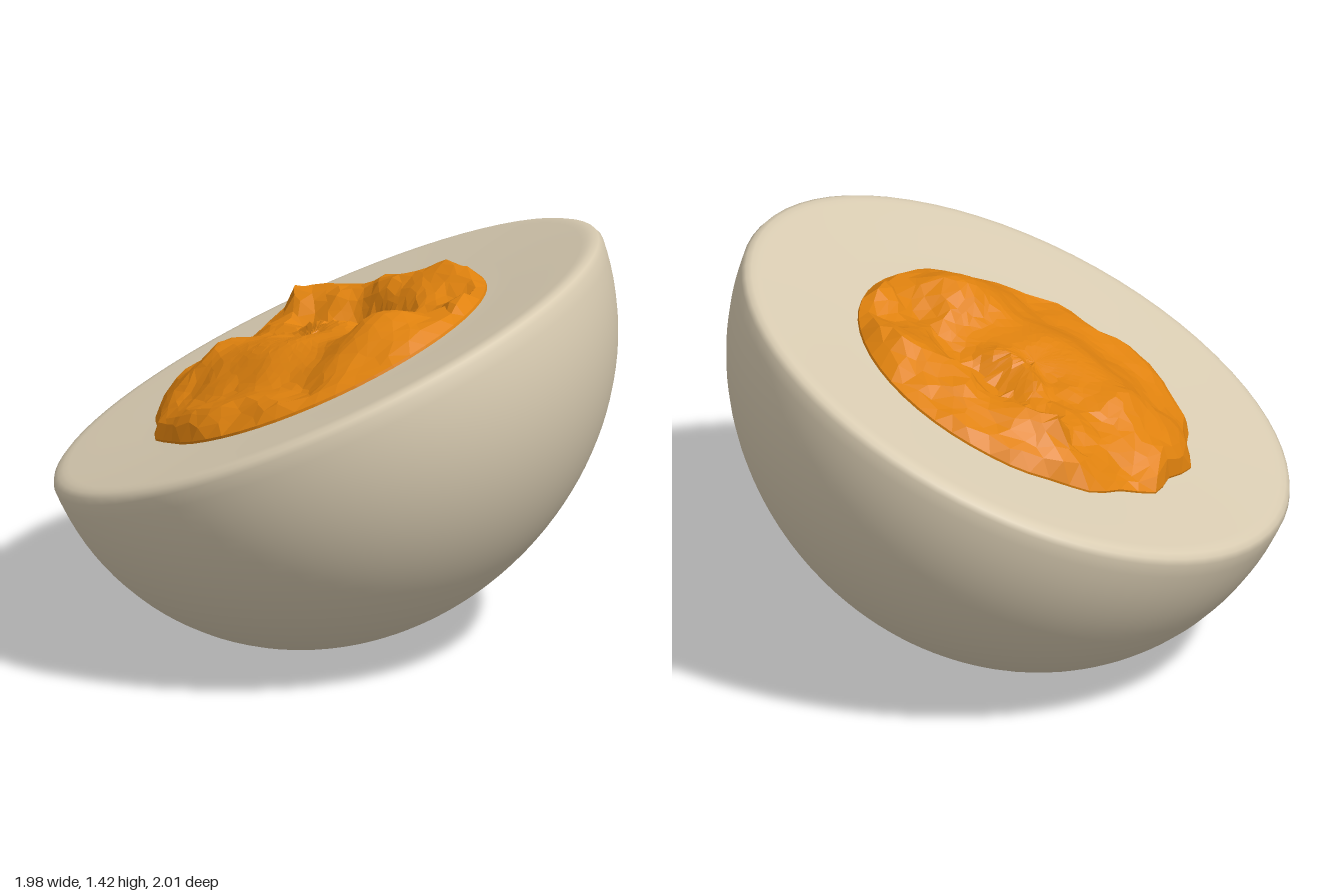
import * as THREE from 'three';
import { mergeVertices } from 'three/addons/utils/BufferGeometryUtils.js';

const WHITE_RADIUS = 1.04, YOLK_RADIUS = 0.62;
// Direction, in the egg's own frame, in which the bowl is slightly flattened
const FLAT_SIDE = new THREE.Vector3(0.306, -0.918, -0.25).normalize();

// Half an egg white: a lopsided bowl closed by a flat cut face with a narrow rounded rim
function whiteGeometry() {
  const profile = [];
  for (let i = 0; i <= 32; i++) {
    const a = -Math.PI / 2 * (1 - 0.98 * i / 32);
    profile.push(new THREE.Vector2(i ? WHITE_RADIUS * Math.cos(a) : 0, WHITE_RADIUS * Math.sin(a)));
  }
  [[1.03, -0.012], [1.012, -0.001], [0.99, 0.002], [0.97, 0.002], [0.85, -0.003], [0.7, -0.01], [0.6, -0.015], [0, -0.02]]
    .forEach(([r, y]) => profile.push(new THREE.Vector2(r, y)));
  const lathe = new THREE.LatheGeometry(profile, 72);
  lathe.deleteAttribute('uv');
  lathe.deleteAttribute('normal');
  const geometry = mergeVertices(lathe, 1e-4);
  const position = geometry.attributes.position, p = new THREE.Vector3(), d = new THREE.Vector3();
  for (let i = 0; i < position.count; i++) {
    p.fromBufferAttribute(position, i);
    p.multiplyScalar(1 - 0.085 * d.copy(p).normalize().dot(FLAT_SIDE) ** 2);
    position.setXYZ(i, p.x, p.y, p.z);
  }
  geometry.computeVertexNormals();
  return geometry;
}

// Broad lumps and hollows of the yolk: x, z, width along x, width along z, height
const LUMPS = [
  [-0.32, -0.32, 0.2, 0.13, 0.1],
  [0.15, -0.43, 0.26, 0.1, 0.05],
  [-0.3, 0.16, 0.26, 0.17, 0.09],
  [0.05, 0.15, 0.25, 0.2, 0.06],
  [0.4, 0.02, 0.12, 0.15, 0.05],
  [-0.05, 0.5, 0.2, 0.08, 0.03],
  [0.08, -0.21, 0.34, 0.08, -0.08],
  [0.28, 0.32, 0.14, 0.1, -0.04],
];

// Repeatable value between -1 and 1 for a pair of whole numbers
function hash(i, j) {
  const s = Math.sin(i * 127.1 + j * 311.7) * 43758.5453;
  return 2 * (s - Math.floor(s)) - 1;
}

// Smooth noise between lattice points
function noise(x, z) {
  const i = Math.floor(x), j = Math.floor(z);
  const u = THREE.MathUtils.smoothstep(x - i, 0, 1), v = THREE.MathUtils.smoothstep(z - j, 0, 1);
  const { lerp } = THREE.MathUtils;
  return lerp(lerp(hash(i, j), hash(i + 1, j), u), lerp(hash(i, j + 1), hash(i + 1, j + 1), u), v);
}

function yolkHeight(x, z, t) {
  let h = 0.055;
  for (const [cx, cz, wx, wz, amp] of LUMPS) {
    h += amp * Math.exp(-(((x - cx) / wx) ** 2) - ((z - cz) / wz) ** 2);
  }
  // The front is smoother than the torn back and the rim
  const rough = 0.4 + 0.6 * THREE.MathUtils.smoothstep(-z, -0.1, 0.2) + 0.3 * t ** 4;
  h += rough * (0.035 * (1 - 2 * Math.abs(noise(5 * x + 3, 5 * z))) - 0.012 + 0.025 * noise(11 * x, 11 * z + 7));
  return 0.005 + Math.max(h, 0) * Math.sqrt(Math.max(0, 1 - t ** 7));
}

// Crumpled disc of uneven facets with a short skirt that sinks into the white
function yolkGeometry() {
  const rings = 18, sides = 52;
  const positions = [0, yolkHeight(0, 0, 0), 0], index = [];
  for (let j = 1; j <= rings + 1; j++) {
    const inside = j < rings;
    for (let i = 0; i < sides; i++) {
      const t = inside ? (j + 0.35 * hash(i, j)) / rings : 1;
      const a = (i + (j % 2) * 0.5 + (inside ? 0.35 * hash(j, i + 9) : 0)) / sides * Math.PI * 2;
      // Ragged outline on the left-hand side only
      const ragged = Math.max(0, -Math.cos(a + 0.3)) ** 2;
      const r = YOLK_RADIUS * t * (1 + 0.03 * ragged * Math.sin(a * 13) * t ** 4);
      const x = r * Math.cos(a), z = r * Math.sin(a);
      positions.push(x, j > rings ? -0.05 : yolkHeight(x, z, t), z);
    }
  }
  const at = (j, i) => 1 + (j - 1) * sides + (i % sides);
  for (let i = 0; i < sides; i++) index.push(0, at(1, i + 1), at(1, i));
  for (let j = 1; j <= rings; j++) {
    for (let i = 0; i < sides; i++) {
      const a = at(j, i), b = at(j, i + 1), c = at(j + 1, i), d = at(j + 1, i + 1);
      // Odd rings are turned by half a step
      if (j % 2) index.push(a, b, d, a, d, c);
      else index.push(a, b, c, b, d, c);
    }
  }
  const geometry = new THREE.BufferGeometry();
  geometry.setAttribute('position', new THREE.Float32BufferAttribute(positions, 3));
  geometry.setIndex(index);
  geometry.computeVertexNormals();
  return geometry;
}

export function createModel() {
  const whiteMaterial = new THREE.MeshStandardMaterial({ color: 0xd9ccb2 });
  whiteMaterial.name = 'eggWhite';
  const yolkMaterial = new THREE.MeshStandardMaterial({ color: 0xe0820e, flatShading: true });
  yolkMaterial.name = 'yolkOrange';

  const white = new THREE.Mesh(whiteGeometry(), whiteMaterial);
  white.name = 'eggWhite';
  const yolk = new THREE.Mesh(yolkGeometry(), yolkMaterial);
  yolk.name = 'yolk';
  yolk.position.set(-0.035, -0.01, 0);

  // The half egg rests tilted, its cut face leaning to the front and right
  const egg = new THREE.Group();
  egg.name = 'halfEgg';
  egg.add(white, yolk);
  egg.quaternion.setFromUnitVectors(new THREE.Vector3(0, 1, 0), new THREE.Vector3(-0.323, 0.909, 0.264).normalize());
  egg.position.set(-0.035, 1.015, 0.015);

  const model = new THREE.Group();
  model.name = 'eggHalf';
  model.add(egg);
  return model;
}
